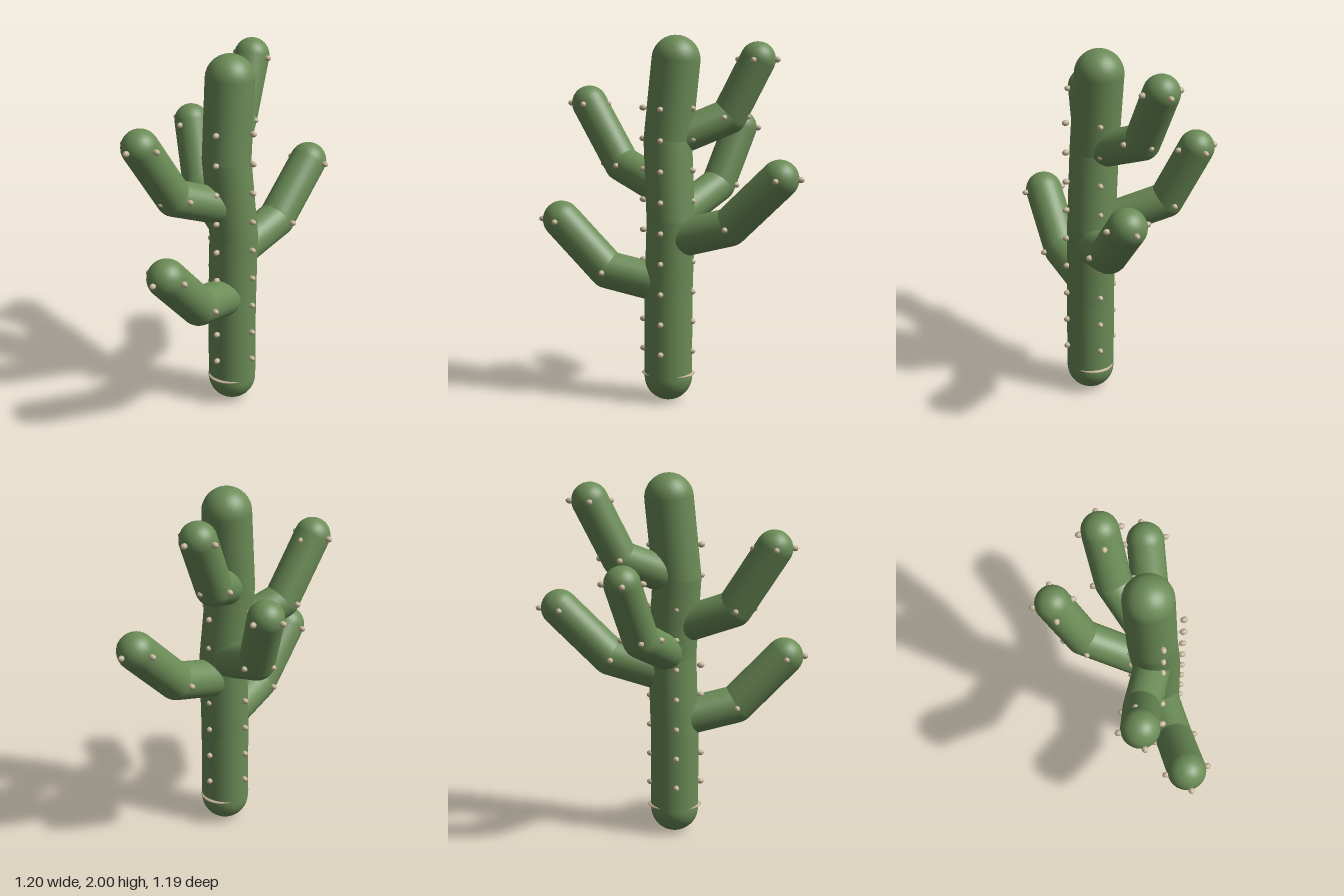
import * as THREE from 'three';

const UP = new THREE.Vector3(0, 1, 0);

export function createModel() {
  const cactusGreen = new THREE.MeshStandardMaterial({ color: 0x6b8c57 });
  cactusGreen.name = 'cactusGreen';
  const spineTan = new THREE.MeshStandardMaterial({ color: 0xc4b498 });
  spineTan.name = 'spineTan';

  const model = new THREE.Group();
  model.name = 'cactus';

  // Chain of round-ended segments through a list of joints
  function limb(name, joints, radius) {
    const group = new THREE.Group();
    group.name = name;
    const pts = joints.map((p) => new THREE.Vector3(...p));
    for (let i = 0; i + 1 < pts.length; i++) {
      const dir = pts[i + 1].clone().sub(pts[i]);
      const segment = new THREE.Mesh(new THREE.CapsuleGeometry(radius, dir.length(), 10, 32), cactusGreen);
      segment.name = name + 'Segment';
      segment.position.copy(pts[i]).addScaledVector(dir, 0.5);
      segment.quaternion.setFromUnitVectors(UP, dir.normalize());
      group.add(segment);
    }
    model.add(group);
    return group;
  }

  // Four spines on the diagonals around a point
  const spineGeometry = new THREE.SphereGeometry(0.016, 12, 8);
  function spineRing(group, [x, y, z], radius) {
    for (let i = 0; i < 4; i++) {
      const angle = Math.PI / 4 + (i * Math.PI) / 2;
      const spine = new THREE.Mesh(spineGeometry, spineTan);
      spine.name = 'spine';
      spine.position.set(x + Math.sin(angle) * radius, y, z + Math.cos(angle) * radius);
      spine.rotation.y = angle;
      spine.scale.z = 1.3;
      group.add(spine);
    }
  }

  // Slightly crooked trunk with straight rows of spines
  const trunk = limb('trunk', [
    [0, 0.132, 0.04],
    [0, 0.566, 0.04],
    [0.01, 1.0, 0.03],
    [-0.028, 1.434, 0.027],
    [-0.004, 1.868, -0.01],
  ], 0.132);
  for (let i = 0; i < 9; i++) spineRing(trunk, [-0.003, 0.28 + i * 0.1663, 0.043], 0.138);

  // Flat oval band near the foot of the trunk
  const band = new THREE.Mesh(new THREE.SphereGeometry(1, 40, 12), spineTan);
  band.name = 'baseBand';
  band.position.set(0, 0.15, 0.04);
  band.scale.set(0.148, 0.017, 0.126);
  band.rotation.y = Math.PI / 4;
  trunk.add(band);

  // Bent arms: root, elbow, tip, radius
  const arms = [
    ['lowerFrontArm', [0, 0.64, 0.04], [-0.22, 0.715, 0.3], [-0.407, 0.985, 0.49], 0.104],
    ['lowerBackArm', [0.01, 0.89, 0.035], [0.285, 0.985, -0.175], [0.497, 1.255, -0.352], 0.103],
    ['middleBackArm', [0.005, 1.0, 0.03], [-0.125, 1.16, -0.35], [-0.147, 1.475, -0.505], 0.096],
    ['upperFrontArm', [0, 1.155, 0.03], [-0.325, 1.285, 0.155], [-0.505, 1.615, 0.265], 0.099],
    ['upperBackArm', [-0.02, 1.43, 0.025], [0.092, 1.56, -0.285], [0.18, 1.868, -0.413], 0.097],
  ];
  for (const [name, root, elbow, tip, radius] of arms) {
    const arm = limb(name, [root, elbow, tip], radius);
    spineRing(arm, elbow, radius + 0.006);
    spineRing(arm, tip, radius + 0.008);
  }
  return model;
}
